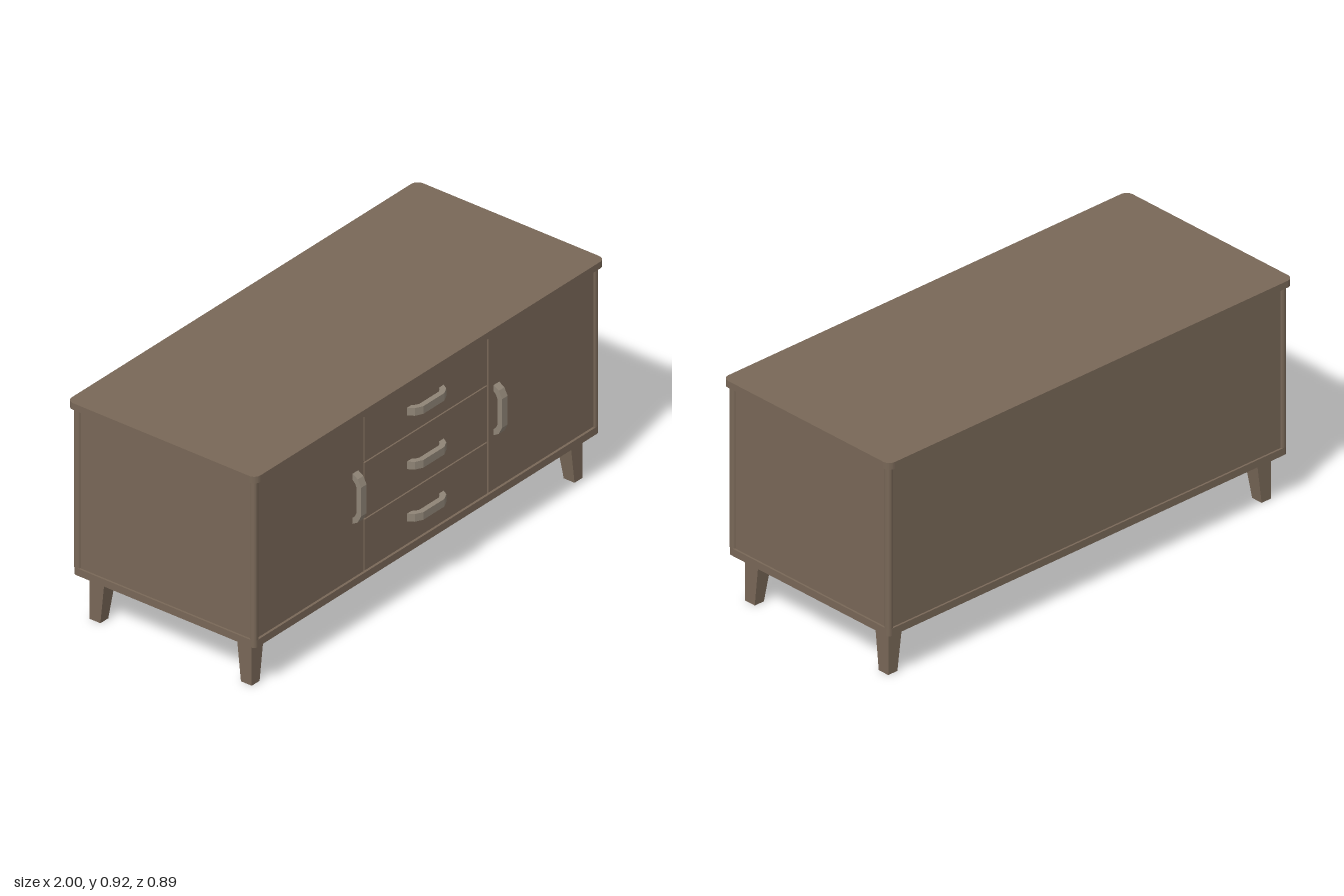
import * as THREE from 'three';

const wood = new THREE.MeshStandardMaterial({ color: 0x786757 });
wood.name = 'brown wood';
const handleMat = new THREE.MeshStandardMaterial({ color: 0x8f8476 });
handleMat.name = 'pale handle';

// Outline of a rectangle with rounded corners, centred on the origin
function roundedRect(w, d, r, Kind = THREE.Shape) {
  const s = new Kind(), x = w / 2, y = d / 2;
  s.moveTo(-x + r, -y);
  s.lineTo(x - r, -y); s.absarc(x - r, -y + r, r, -Math.PI / 2, 0);
  s.lineTo(x, y - r); s.absarc(x - r, y - r, r, 0, Math.PI / 2);
  s.lineTo(-x + r, y); s.absarc(-x + r, y - r, r, Math.PI / 2, Math.PI);
  s.lineTo(-x, -y + r); s.absarc(-x + r, -y + r, r, Math.PI, Math.PI * 1.5);
  return s;
}

// Horizontal slab between two heights
function slab(shape, y0, y1, z) {
  const g = new THREE.ExtrudeGeometry(shape, { depth: y1 - y0, bevelEnabled: false, curveSegments: 4 });
  return g.rotateX(-Math.PI / 2).translate(0, y0, z);
}

// Box given by its limits
function box(x0, x1, y0, y1, z0, z1) {
  return new THREE.BoxGeometry(x1 - x0, y1 - y0, z1 - z0)
    .translate((x0 + x1) / 2, (y0 + y1) / 2, (z0 + z1) / 2);
}

// Faceted bow handle lying along x, bulging towards +z
function handleGeometry() {
  const half = [[0.105, 0], [0.09, 0.024], [0.06, 0.039]];
  const inner = [[0.055, 0.017], [0.069, 0.011], [0.079, 0]];
  const pts = [
    ...half, ...half.map(([x, y]) => [-x, y]).reverse(),
    ...inner.map(([x, y]) => [-x, y]).reverse(), ...inner,
  ].map(([x, y]) => new THREE.Vector2(x, y));
  return new THREE.ExtrudeGeometry(new THREE.Shape(pts), { depth: 0.032, bevelEnabled: false })
    .translate(0, 0, -0.016).rotateX(Math.PI / 2);
}

// Square leg whose two inner faces taper; sx and sz point outwards
function legGeometry(sx, sz, outX, outZ) {
  const g = new THREE.BoxGeometry(0.07, 0.19, 0.07).translate(sx * (outX - 0.035), 0.095, outZ - sz * 0.035);
  const p = g.attributes.position;
  for (let i = 0; i < p.count; i++) {
    if (p.getY(i) > 0.01) continue;
    if (Math.abs(p.getX(i)) < outX - 0.01) p.setX(i, sx * (outX - 0.045));
    if (Math.abs(p.getZ(i)) < Math.abs(outZ) - 0.01) p.setZ(i, outZ - sz * 0.05);
  }
  g.computeVertexNormals();
  return g;
}

export function createModel() {
  const model = new THREE.Group();
  model.name = 'sideboard';
  const add = (name, geometry, material = wood) => {
    const m = new THREE.Mesh(geometry, material);
    m.name = name;
    model.add(m);
    return m;
  };
  const bodyZ = -0.008, front = 0.414, back = -0.43;

  // Top board, bottom board and inner carcass
  add('topBoard', slab(roundedRect(2, 0.875, 0.03), 0.887, 0.915, -0.0085));
  add('bottomBoard', slab(roundedRect(1.97, 0.844, 0.015), 0.19, 0.22, bodyZ));
  add('carcass', box(-0.977, 0.977, 0.22, 0.888, back + 0.008, front - 0.014));

  // Rounded corner posts
  for (const sx of [-1, 1]) for (const sz of [-1, 1]) {
    const g = slab(roundedRect(0.028, 0.03, 0.012), 0.22, 0.888, bodyZ + sz * 0.407);
    add('cornerPost', g.translate(sx * 0.971, 0, 0));
  }

  // Doors and drawer fronts with narrow gaps
  const z0 = front - 0.016, z1 = front - 0.006;
  add('rightDoor', box(-0.957, -0.357, 0.224, 0.887, z0, z1));
  add('leftDoor', box(0.357, 0.957, 0.224, 0.887, z0, z1));
  for (const [y0, y1] of [[0.224, 0.436], [0.442, 0.673], [0.679, 0.887]])
    add('drawerFront', box(-0.35, 0.35, y0, y1, z0, z1));

  // Handles
  for (const y of [0.777, 0.552, 0.334])
    add('drawerHandle', handleGeometry(), handleMat).position.set(-0.003, y, z1);
  for (const x of [-0.403, 0.403]) {
    const h = add('doorHandle', handleGeometry(), handleMat);
    h.position.set(x, 0.555, z1);
    h.rotation.z = Math.PI / 2;
  }

  // Base rail ring under the body
  const ring = roundedRect(1.88, 0.744, 0.005);
  ring.holes.push(roundedRect(1.84, 0.704, 0.005, THREE.Path));
  add('baseRail', slab(ring, 0.172, 0.191, bodyZ));

  // Tapered legs
  for (const sx of [-1, 1]) {
    add('frontLeg', legGeometry(sx, 1, 0.945, 0.367));
    add('backLeg', legGeometry(sx, -1, 0.945, -0.384));
  }
  return model;
}
